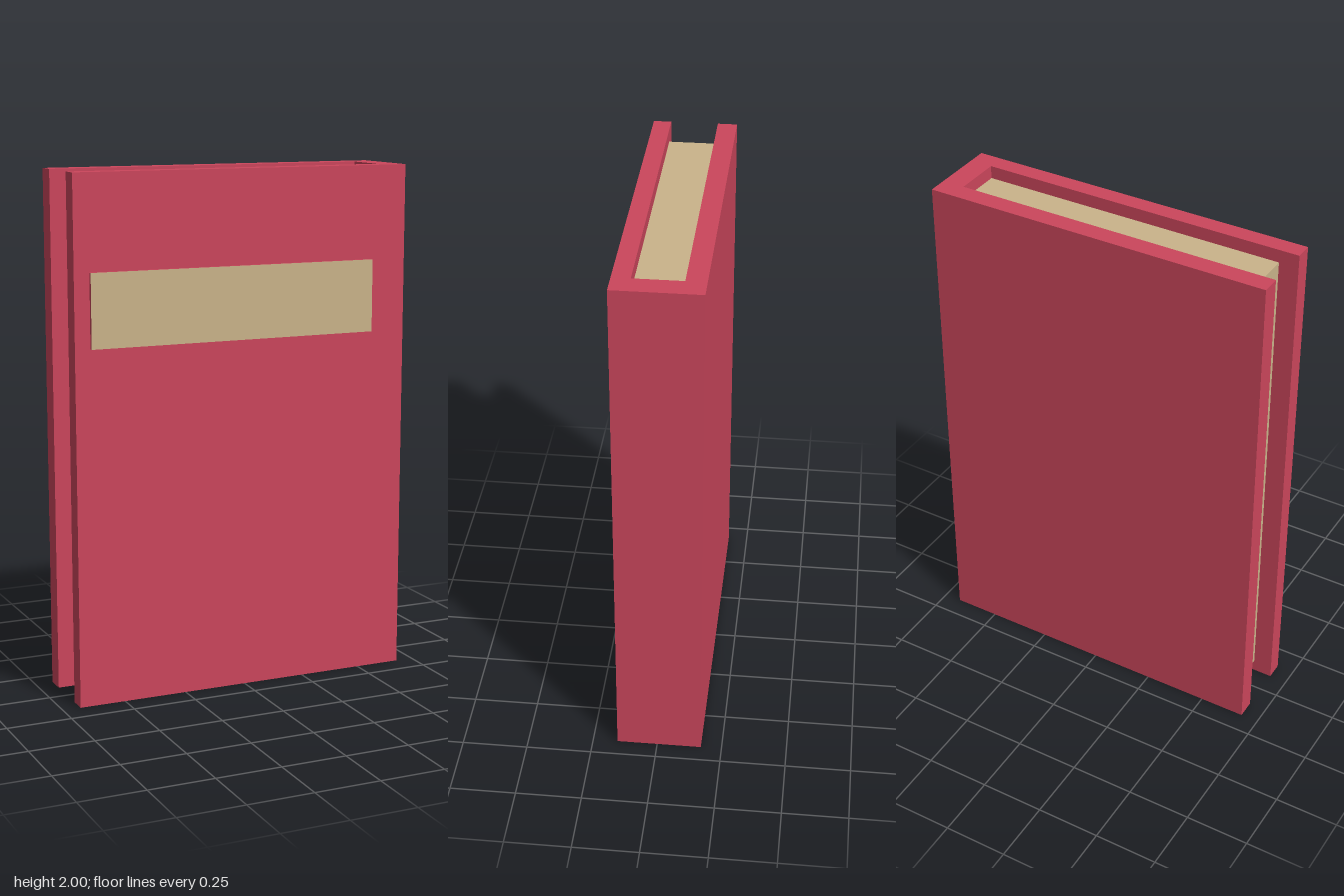
import * as THREE from 'three';

const red = new THREE.MeshStandardMaterial({ name: 'redCloth', color: 0xcb465c });
const tan = new THREE.MeshStandardMaterial({ name: 'tanPaper', color: 0xcab48a });

// Box given by its min and max corners
function block(name, min, max, material) {
  const size = max.map((v, i) => v - min[i]);
  const mesh = new THREE.Mesh(new THREE.BoxGeometry(...size), material);
  mesh.position.set(...min.map((v, i) => (v + max[i]) / 2));
  mesh.name = name;
  return mesh;
}

export function createModel() {
  const book = new THREE.Group();
  book.name = 'book';

  // U-shaped cover: two boards joined by the spine, drawn as (x, z)
  const outline = [
    [-0.68, 0.155], [0.68, 0.155], [0.68, -0.17], [-0.68, -0.17],
    [-0.68, -0.095], [0.592, -0.095], [0.592, 0.087], [-0.68, 0.087],
  ];
  const shape = new THREE.Shape(outline.map(([x, z]) => new THREE.Vector2(x, -z)));
  const coverGeometry = new THREE.ExtrudeGeometry(shape, { depth: 2, bevelEnabled: false });
  coverGeometry.rotateX(-Math.PI / 2);
  const cover = new THREE.Mesh(coverGeometry, red);
  cover.name = 'cover';
  book.add(cover);

  // Page block, set back from the cover's edges
  book.add(block('pages', [-0.604, 0.05, -0.095], [0.592, 1.95, 0.087], tan));

  // Raised title plate: red edges, tan front
  book.add(block('titlePlate', [-0.62, 1.36, 0.155], [0.535, 1.64, 0.168],
    [red, red, red, red, tan, red]));

  return book;
}
